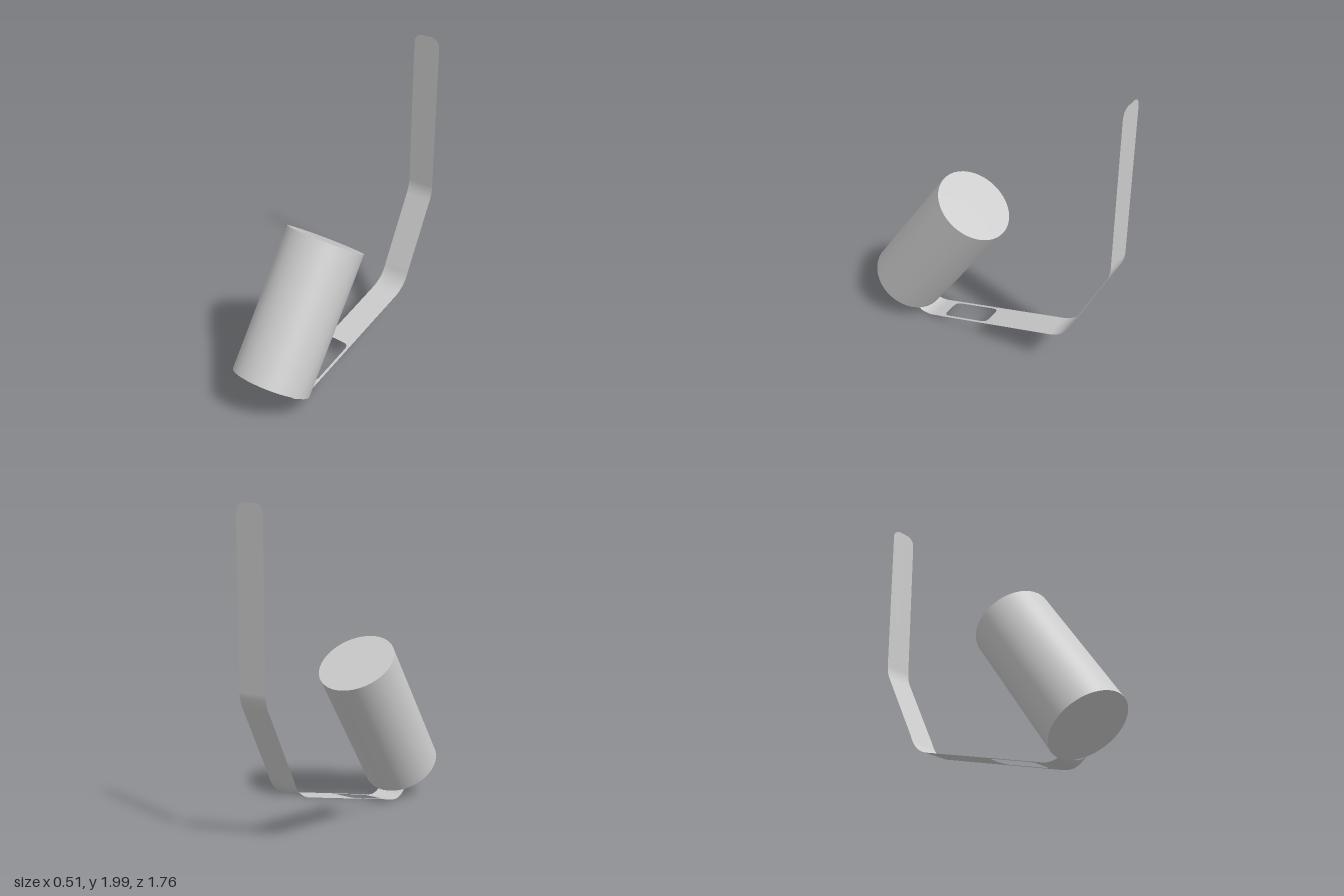
import * as THREE from 'three';

const HALF = 0.095; // half width of the strap

// Leaning solid cylinder
function makeCylinder(material) {
  const bottom = new THREE.Vector3(0, 0.193, 0.672);
  const top = new THREE.Vector3(0, 0.973, 0.135);
  const axis = top.clone().sub(bottom);
  const mesh = new THREE.Mesh(new THREE.CylinderGeometry(0.253, 0.253, axis.length(), 64), material);
  mesh.position.copy(bottom).add(top).multiplyScalar(0.5);
  mesh.quaternion.setFromUnitVectors(new THREE.Vector3(0, 1, 0), axis.normalize());
  mesh.name = 'cylinderBody';
  return mesh;
}

// Thin bent strap: each row is [z, y, outer half width, inner half width (opening)]
function makeStrap(material) {
  const rows = [];
  const row = (z, y, outer = HALF, inner = 0) => rows.push([z, y, outer, inner]);
  const bend = (a, b, c, n = 8) => {
    const curve = new THREE.QuadraticBezierCurve(
      new THREE.Vector2(...a), new THREE.Vector2(...b), new THREE.Vector2(...c));
    curve.getPoints(n).forEach(p => row(p.x, p.y));
  };

  // Rounded top end
  const R = 0.06;
  for (let i = 0; i <= 8; i++) {
    const a = (i / 8) * Math.PI / 2;
    row(-0.88, 2 - R * (1 - Math.cos(a)), HALF - R + R * Math.sin(a));
  }

  // Two bends down the back
  bend([-0.88, 0.95], [-0.88, 0.9], [-0.855, 0.85]);
  bend([-0.635, 0.405], [-0.595, 0.293], [-0.49, 0.264]);

  // Sloping base with a rounded rectangular window
  const floorY = z => 0.264 - 0.277 * (z + 0.49);
  const z0 = 0, z1 = 0.34, r = 0.035, win = 0.077;
  const corner = (z, dir, a) =>
    row(z + dir * r * (1 - Math.cos(a)), floorY(z + dir * r * (1 - Math.cos(a))), HALF, win - r + r * Math.sin(a));
  row(z0, floorY(z0));
  for (let i = 0; i <= 6; i++) corner(z0, 1, i * Math.PI / 12);
  for (let i = 6; i >= 0; i--) corner(z1, -1, i * Math.PI / 12);
  row(z1, floorY(z1));

  // Upturned lip with a concave end
  bend([0.41, floorY(0.41)], [0.482, -0.006], [0.535, 0.022]);
  for (let i = 0; i <= 8; i++) {
    const a = (i / 8) * Math.PI / 2;
    const t = 1 - Math.cos(a);
    row(0.545 + 0.035 * t, 0.029 + 0.027 * t, HALF, 0.088 * Math.sin(a));
  }

  // Mirrored half strips joined along the centre line
  const pos = [], index = [];
  for (const side of [1, -1]) {
    const base = pos.length / 3;
    rows.forEach(([z, y, outer, inner], i) => {
      pos.push(side * inner, y, z, side * outer, y, z);
      if (i === 0) return;
      const a = base + 2 * (i - 1), b = a + 1, c = a + 2, d = a + 3;
      if (side > 0) index.push(a, c, b, b, c, d);
      else index.push(a, b, c, b, d, c);
    });
  }
  const geometry = new THREE.BufferGeometry();
  geometry.setAttribute('position', new THREE.Float32BufferAttribute(pos, 3));
  geometry.setIndex(index);
  geometry.computeVertexNormals();
  const mesh = new THREE.Mesh(geometry, material);
  mesh.name = 'bentStrap';
  return mesh;
}

export function createModel() {
  const group = new THREE.Group();
  group.name = 'strapAndCylinder';
  group.add(makeCylinder(new THREE.MeshStandardMaterial({ color: 0xcccccc })));
  group.add(makeStrap(new THREE.MeshStandardMaterial({ color: 0xcccccc, side: THREE.DoubleSide })));
  return group;
}
